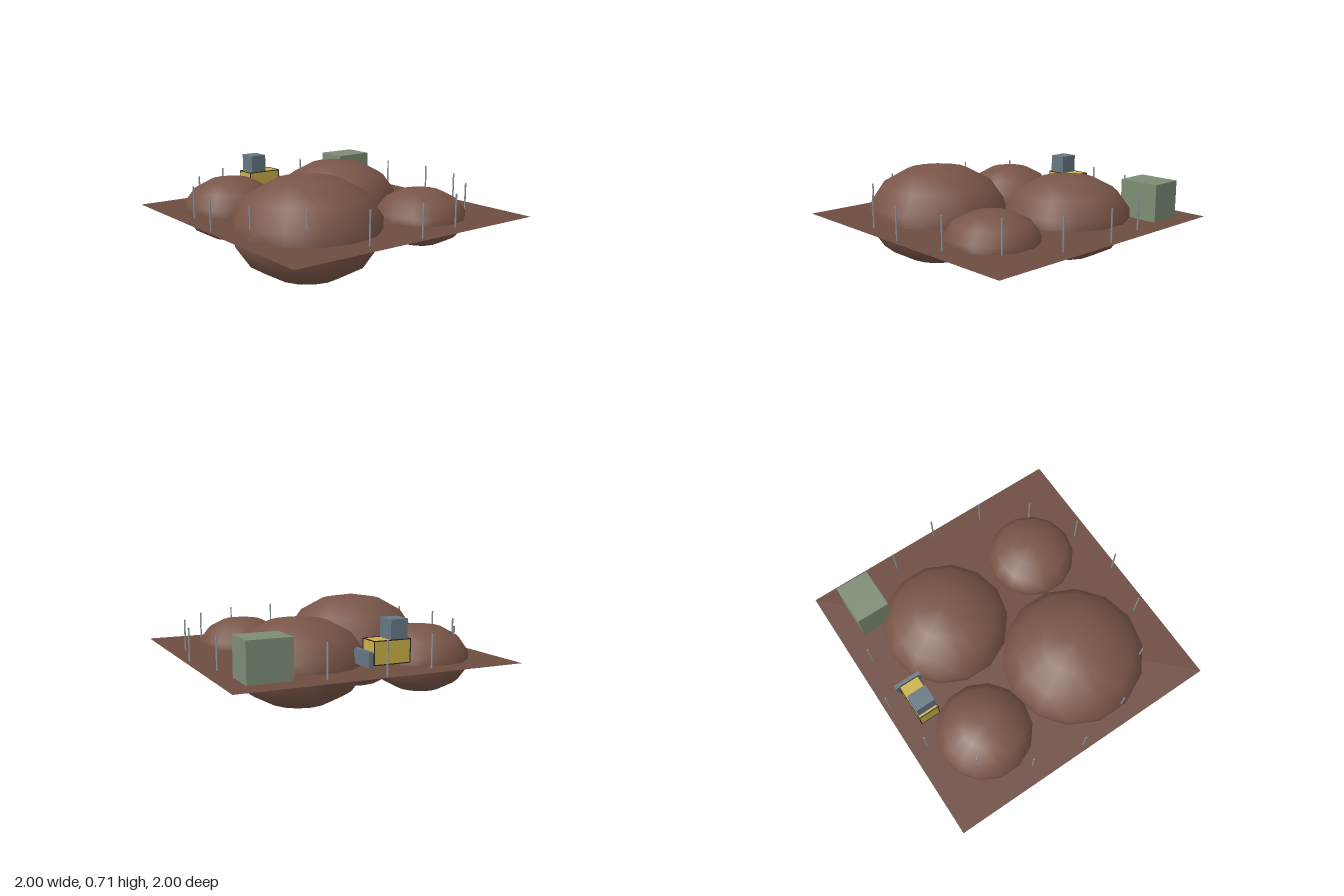
import * as THREE from 'three';

const GROUND_Y = 0.36;

function material(name, color, side = THREE.FrontSide) {
  return new THREE.MeshStandardMaterial({ name, color, side });
}

export function createModel() {
  const earth = material('earth', 0x6d4c41, THREE.DoubleSide);
  const soil = material('soil', 0x795548);
  const green = material('hutGreen', 0x7d8c75);
  const yellow = material('machineYellow', 0xcbb048);
  const slate = material('slate', 0x667684);
  const dark = material('darkTrim', 0x2b2618);
  const steel = material('postSteel', 0x8b979c);

  const model = new THREE.Group();
  model.name = 'earthworksSite';

  function add(parent, name, geometry, mat, x, y, z) {
    const mesh = new THREE.Mesh(geometry, mat);
    mesh.name = name;
    mesh.position.set(x, y, z);
    parent.add(mesh);
    return mesh;
  }

  // Box given by its min and max corners
  function box(parent, name, mat, [x0, y0, z0], [x1, y1, z1]) {
    return add(parent, name, new THREE.BoxGeometry(x1 - x0, y1 - y0, z1 - z0), mat,
      (x0 + x1) / 2, (y0 + y1) / 2, (z0 + z1) / 2);
  }

  // Flat square of ground
  const ground = add(model, 'ground', new THREE.PlaneGeometry(2, 2), earth, 0, GROUND_Y, 0);
  ground.rotation.x = -Math.PI / 2;

  // Squashed mounds, half sunk in the ground: x, z, radius, half height
  const mounds = [
    [-0.407, 0.303, 0.51, 0.357],
    [0.303, -0.308, 0.458, 0.303],
    [-0.51, -0.513, 0.343, 0.233],
    [0.408, 0.51, 0.323, 0.2],
  ];
  for (const [x, z, r, h] of mounds) {
    const geometry = new THREE.SphereGeometry(1, 14, 7);
    geometry.rotateY(Math.PI / 2);
    geometry.scale(r, h, r);
    add(model, 'mound', geometry, soil, x, GROUND_Y, z);
  }

  // Ring of marker posts
  const postGeometry = new THREE.CylinderGeometry(0.006, 0.006, 0.225, 5);
  for (let i = 0; i < 16; i++) {
    const a = (i / 16) * Math.PI * 2;
    add(model, 'post', postGeometry, steel,
      Math.cos(a) * 0.96, GROUND_Y + 0.1125, Math.sin(a) * 0.96);
  }

  // Site hut, its floor just under the ground
  box(model, 'siteHut', green, [0.563, 0.357, -0.837], [0.861, 0.625, -0.597]);

  // Digging machine: body, cab and front blade
  const machine = new THREE.Group();
  machine.name = 'machine';
  model.add(machine);
  const lo = [-0.233, 0.405, -0.841];
  const hi = [0.025, 0.556, -0.696];
  box(machine, 'machineBody', yellow, lo, hi);
  box(machine, 'machineCab', slate, [-0.215, 0.556, -0.835], [-0.095, 0.685, -0.697]);
  box(machine, 'machineBlade', slate, [0.045, 0.395, -0.865], [0.075, 0.495, -0.67]);

  // Thin dark trim along the twelve body edges
  const t = 0.003;
  for (let axis = 0; axis < 3; axis++) {
    for (let side = 0; side < 4; side++) {
      const a = (axis + 1) % 3;
      const b = (axis + 2) % 3;
      const p = [...lo];
      const q = [...hi];
      const ca = side & 1 ? hi[a] : lo[a];
      const cb = side & 2 ? hi[b] : lo[b];
      p[a] = ca - t; q[a] = ca + t;
      p[b] = cb - t; q[b] = cb + t;
      box(machine, 'bodyTrim', dark, p, q);
    }
  }

  return model;
}
